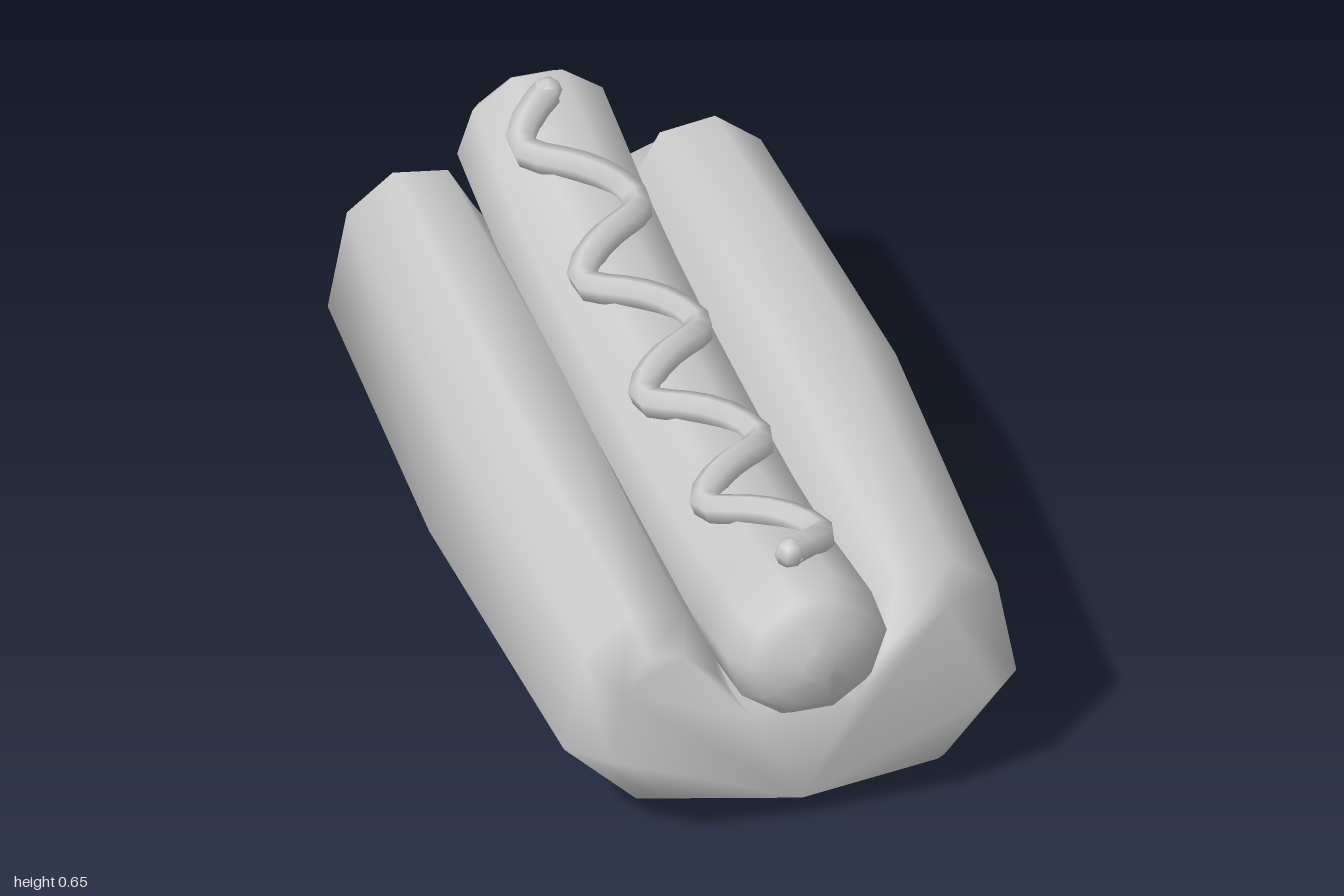
import * as THREE from 'three';

const material = new THREE.MeshStandardMaterial({ color: 0xcccccc });

// Skin a list of rings (counter-clockwise seen from +z, ordered by rising z) and cap both ends
function loft(rings) {
  const n = rings[0].length;
  const last = (rings.length - 1) * n;
  const index = [];
  for (let k = 0; k < rings.length - 1; k++) {
    for (let i = 0; i < n; i++) {
      const a = k * n + i, b = k * n + (i + 1) % n;
      index.push(a, b, b + n, a, b + n, a + n);
    }
  }
  const cap = ring => THREE.ShapeUtils.triangulateShape(ring.map(p => new THREE.Vector2(p.x, p.y)), []);
  for (const [a, b, c] of cap(rings[0])) index.push(a, c, b);
  for (const [a, b, c] of cap(rings[rings.length - 1])) index.push(last + a, last + b, last + c);
  const geometry = new THREE.BufferGeometry().setFromPoints(rings.flat());
  geometry.setIndex(index);
  geometry.computeVertexNormals();
  return geometry;
}

function addPart(parent, name, geometry) {
  const mesh = new THREE.Mesh(geometry, material);
  mesh.name = name;
  parent.add(mesh);
  return mesh;
}

// Half outlines of the bun: underside, outer wall, rounded lip, slit
const BUN_MIDDLE = [[0.33, 0.02], [0.505, 0.21], [0.465, 0.44], [0.36, 0.545], [0.22, 0.52], [0.165, 0.38], [0.11, 0.2]];
const BUN_SHOULDER = [[0.32, 0.035], [0.47, 0.21], [0.43, 0.43], [0.335, 0.507], [0.22, 0.49], [0.165, 0.39], [0.11, 0.25]];
const BUN_END = [[0.28, 0.09], [0.4, 0.22], [0.37, 0.37], [0.31, 0.435], [0.24, 0.43], [0.175, 0.385], [0.11, 0.28]];
const BUN_END_Z = [0.885, 0.88, 0.87, 0.855, 0.86, 0.885, 0.9];

function bunRing(half, bottom, z, bottomZ = z) {
  const depth = i => (Array.isArray(z) ? z[i] : z);
  const right = half.map(([x, y], i) => new THREE.Vector3(x, y, depth(i)));
  const left = half.map(([x, y], i) => new THREE.Vector3(-x, i === 0 ? y + 0.025 : y, depth(i))).reverse();
  return [new THREE.Vector3(0, bottom, bottomZ), ...right, ...left];
}

// Height of the sausage axis: it sags in the middle
const axisY = z => 0.36 + 0.085 * Math.min(1, Math.abs(z) / 0.86) ** 3;

function sausageRing(z, radius) {
  return Array.from({ length: 10 }, (_, i) => {
    const a = i * Math.PI / 5;
    return new THREE.Vector3(radius * Math.cos(a), axisY(z) + radius * Math.sin(a), z);
  });
}

export function createModel() {
  const group = new THREE.Group();
  group.name = 'hotDog';

  // Bun: bulging middle, narrower shoulders, rounded ends
  const endZ = BUN_END_Z.map(z => -z);
  addPart(group, 'bun', loft([
    bunRing(BUN_END, 0.05, endZ, -0.88),
    bunRing(BUN_SHOULDER, 0.008, -0.8),
    bunRing(BUN_MIDDLE, 0, 0),
    bunRing(BUN_SHOULDER, 0.008, 0.8),
    bunRing(BUN_END, 0.05, BUN_END_Z, 0.88),
  ]));

  // Sausage: ten-sided, with domed tips
  const tip = [[1, 0.035], [0.98, 0.1], [0.955, 0.135], [0.91, 0.167]];
  const body = [-0.75, -0.6, -0.4, -0.2, 0, 0.2, 0.4, 0.6, 0.75];
  addPart(group, 'sausage', loft([
    ...tip.map(([z, r]) => sausageRing(-z, r)),
    ...body.map(z => sausageRing(z, 0.167)),
    ...tip.slice().reverse().map(([z, r]) => sausageRing(z, r)),
  ]));

  // Sauce: a wavy bead lying along the top of the sausage
  const points = [];
  for (let i = 0; i <= 48; i++) {
    const z = -0.83 + 1.66 * i / 48;
    const x = -0.088 * Math.cos(Math.PI * (z + 0.73) / 0.207);
    points.push(new THREE.Vector3(x, axisY(z) + Math.sqrt(0.178 ** 2 - x * x), z));
  }
  const path = new THREE.CatmullRomCurve3(points);
  addPart(group, 'sauce', new THREE.TubeGeometry(path, 56, 0.032, 6));
  for (const end of [points[0], points[48]]) {
    addPart(group, 'sauceEnd', new THREE.SphereGeometry(0.032, 6, 4)).position.copy(end);
  }
  return group;
}
